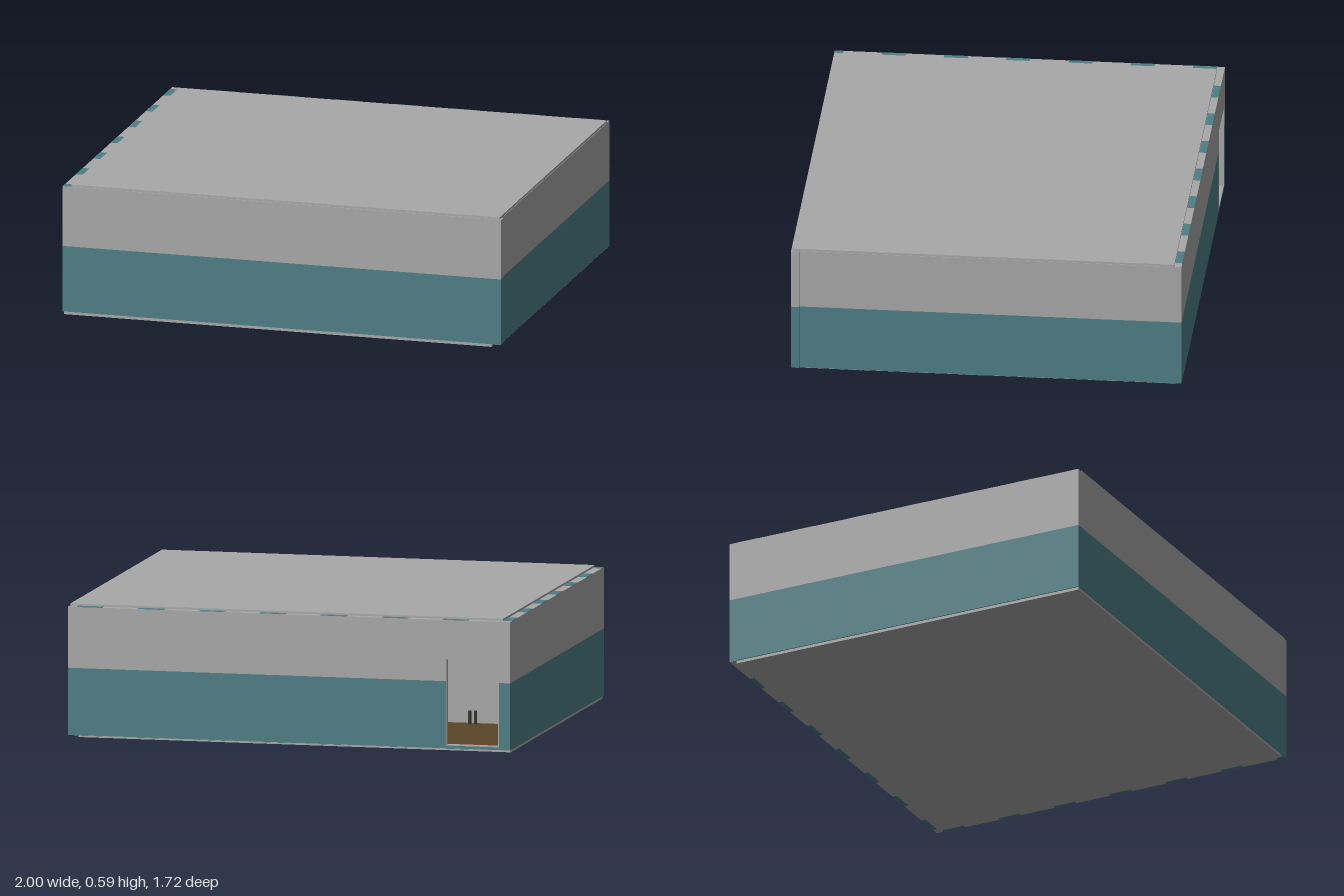
import * as THREE from 'three';

const grey = new THREE.MeshStandardMaterial({ color: 0xa8a8a8 });
grey.name = 'grey plaster';
const teal = new THREE.MeshStandardMaterial({ color: 0x4e7e85 });
teal.name = 'teal paint';
const brown = new THREE.MeshStandardMaterial({ color: 0x644b28 });
brown.name = 'brown kick panel';
const dark = new THREE.MeshStandardMaterial({ color: 0x35332c });
dark.name = 'dark handle';

const BOTTOM = 0.013, SPLIT = 0.31, TOP = 0.58;

// Box given by its extents on each axis
function block(parent, name, material, [x0, x1], [y0, y1], [z0, z1]) {
  const mesh = new THREE.Mesh(new THREE.BoxGeometry(x1 - x0, y1 - y0, z1 - z0), material);
  mesh.position.set((x0 + x1) / 2, (y0 + y1) / 2, (z0 + z1) / 2);
  mesh.name = name;
  parent.add(mesh);
  return mesh;
}

// Wall piece painted teal below the split line and grey above it
function wall(parent, name, x, z, y0 = BOTTOM, y1 = TOP) {
  const group = new THREE.Group();
  group.name = name;
  if (y0 < SPLIT) block(group, name + 'Lower', teal, x, [y0, Math.min(SPLIT, y1)], z);
  if (y1 > SPLIT) block(group, name + 'Upper', grey, x, [Math.max(SPLIT, y0), y1], z);
  parent.add(group);
}

export function createModel() {
  const model = new THREE.Group();
  model.name = 'building';

  // Slabs, each set in from two of the wall faces
  block(model, 'floor', grey, [-0.995, 0.955], [0, BOTTOM], [-0.828, 0.855]);
  block(model, 'roof', grey, [-0.96, 0.992], [TOP, 0.59], [-0.828, 0.853]);

  // Plain walls
  const backZ = [-0.86, -0.825];
  wall(model, 'frontWall', [-1, 1], [0.822, 0.858]);
  wall(model, 'rightWall', [-1, -0.96], [-0.825, 0.822]);
  wall(model, 'leftWall', [0.955, 0.994], [-0.825, 0.822]);

  // Back wall around the door opening
  const door = { x0: -0.95, x1: -0.71, y0: 0.025, y1: 0.41 };
  wall(model, 'backWallLong', [door.x1, 0.994], backZ);
  wall(model, 'backWallShort', [-1, door.x0], backZ);
  wall(model, 'backWallLintel', [door.x0, door.x1], backZ, door.y1, TOP);
  wall(model, 'backWallSill', [door.x0, door.x1], backZ, BOTTOM, door.y0);

  // Recessed double door with a grey lining
  const entrance = new THREE.Group();
  entrance.name = 'entrance';
  model.add(entrance);
  const t = 0.004, dz = [-0.86, -0.83], dy = [door.y0, door.y1];
  block(entrance, 'jamb', grey, [door.x0, door.x0 + t], dy, dz);
  block(entrance, 'jamb', grey, [door.x1 - t, door.x1], dy, dz);
  block(entrance, 'doorHead', grey, [door.x0, door.x1], [door.y1 - t, door.y1], dz);
  block(entrance, 'doorSill', grey, [door.x0, door.x1], [door.y0, door.y0 + t], dz);
  block(entrance, 'door', grey, [door.x0, door.x1], dy, [-0.832, -0.815]);
  block(entrance, 'kickPanel', brown, [door.x0 + t, door.x1 - t], [door.y0 + t, 0.125], [-0.834, -0.832]);
  for (const side of [-1, 1]) {
    const x = -0.825 + side * 0.013;
    block(entrance, 'handle', dark, [x - 0.006, x + 0.006], [0.12, 0.18], [-0.842, -0.832]);
  }

  // Grey caps over the exposed wall edges, with evenly spaced teal patches
  const patch = 0.002;
  for (const [name, y, rightX] of [['topCap', TOP, [-1, -0.96]], ['bottomCap', BOTTOM, [0.955, 0.994]]]) {
    const up = y === TOP ? 1 : -1;
    const layer = (a, b) => [Math.min(y + up * a, y + up * b), Math.max(y + up * a, y + up * b)];
    block(model, name + 'Side', grey, rightX, layer(0, 0.001), [-0.86, 0.855]);
    block(model, name + 'Back', grey, [-1, 0.994], layer(0, 0.001), [-0.86, -0.828]);
    for (let i = 0; i < 7; i++) {
      const x = -0.81 + i * 0.275;
      const z = -0.825 + i * 0.274;
      block(model, name + 'Patch', teal, [x, Math.min(x + 0.115, 0.994)], layer(0, patch), [-0.86, -0.829]);
      block(model, name + 'Patch', teal, rightX, layer(0, patch), [z, Math.min(z + 0.105, 0.855)]);
    }
  }
  return model;
}
